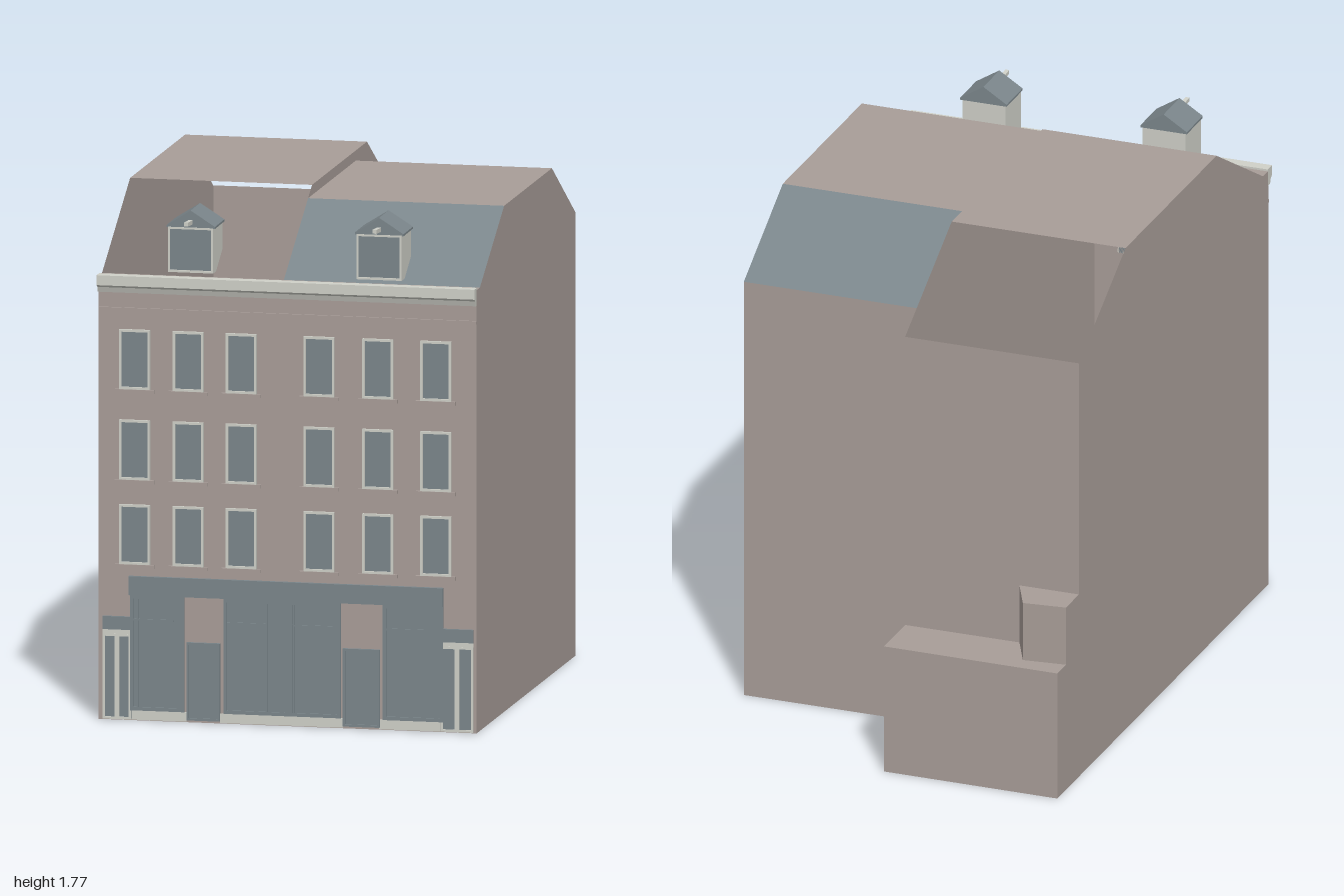
import * as THREE from 'three';

export function createModel() {
  const model = new THREE.Group();
  const mat = (name, color, side = THREE.FrontSide) => {
    const m = new THREE.MeshStandardMaterial({ color, side });
    m.name = name;
    return m;
  };
  const brick = mat('taupe brick', 0xa89d98, THREE.DoubleSide);
  const slate = mat('slate blue', 0x7b868b, THREE.DoubleSide);
  const cream = mat('pale stone', 0xcfd0c8);
  const WALL = 0.95; // z of the street wall

  const add = (parent, name, geometry, material) => {
    const mesh = new THREE.Mesh(geometry, material);
    mesh.name = name;
    parent.add(mesh);
    return mesh;
  };
  const group = (name, parent = model) => {
    const g = new THREE.Group();
    g.name = name;
    parent.add(g);
    return g;
  };
  // box given by its limits
  const box = (parent, name, m, x0, x1, y0, y1, z0, z1) => {
    const mesh = add(parent, name, new THREE.BoxGeometry(x1 - x0, y1 - y0, z1 - z0), m);
    mesh.position.set((x0 + x1) / 2, (y0 + y1) / 2, (z0 + z1) / 2);
    return mesh;
  };
  // rectangular frame standing on the street wall
  const frame = (parent, name, m, x0, x1, y0, y1, t, depth, z = WALL) => {
    const rect = (P, d) => new P([[x0 + d, y0 + d], [x1 - d, y0 + d], [x1 - d, y1 - d], [x0 + d, y1 - d]]
      .map(p => new THREE.Vector2(...p)));
    const shape = rect(THREE.Shape, 0);
    shape.holes.push(rect(THREE.Path, t));
    add(parent, name, new THREE.ExtrudeGeometry(shape, { depth, bevelEnabled: false }), m).position.z = z;
  };
  // flat faces from corner loops; the plots lean slightly towards +x at the back
  const faces = (parent, name, m, loops) => {
    const pos = [];
    for (const loop of loops) {
      for (let i = 1; i < loop.length - 1; i++)
        for (const [x, y, z] of [loop[0], loop[i], loop[i + 1]]) pos.push(x + 0.008 * (WALL - z), y, z);
    }
    const g = new THREE.BufferGeometry();
    g.setAttribute('position', new THREE.Float32BufferAttribute(pos, 3));
    g.computeVertexNormals();
    add(parent, name, g, m);
  };
  // house shell from a convex [z, y] profile, running from the front foot over the roof
  const house = (name, profile, x0, x1, roofEdges, roofMaterial, partyWall) => {
    const g = group(name);
    const walls = [], roof = [];
    profile.forEach(([z, y], i) => {
      const [z2, y2] = profile[(i + 1) % profile.length];
      const quad = [[x0, y, z], [x1, y, z], [x1, y2, z2], [x0, y2, z2]];
      (roofEdges.includes(i) ? roof : walls).push(quad);
    });
    walls.push(profile.map(([z, y]) => [x1, y, z]).reverse());
    if (partyWall) walls.push(profile.map(([z, y]) => [x0, y, z]));
    faces(g, 'walls', brick, walls);
    if (roofMaterial) faces(g, 'roofSlopes', roofMaterial, roof);
    return g;
  };

  // left plot has open slopes, right plot slate ones
  const tall = house('leftHouse', [[WALL, 0], [WALL, 1.52], [0.9, 1.52], [0.47, 1.77],
    [-0.37, 1.77], [-0.8, 1.52], [-0.8, 0]], -0.66, -0.032, [2, 4], null, true);
  house('rightHouse', [[WALL, 0], [WALL, 1.52], [0.9, 1.52], [0.53, 1.735],
    [-0.2, 1.735], [-0.56, 1.52], [-0.56, 0]], -0.032, 0.645, [2, 4], slate, false);

  // rear extension and the small roof hut on it
  const prism = (parent, name, plan, y0, y1) => {
    const loops = plan.map(([x, z], i) => {
      const [x2, z2] = plan[(i + 1) % plan.length];
      return [[x, y0, z], [x2, y0, z2], [x2, y1, z2], [x, y1, z]];
    });
    loops.push(plan.map(([x, z]) => [x, y1, z]), plan.map(([x, z]) => [x, y0, z]).reverse());
    faces(parent, name, brick, loops);
  };
  prism(tall, 'rearExtension', [[-0.66, -0.8], [-0.032, -0.8], [-0.032, -0.995], [-0.66, -1]], 0, 0.46);
  prism(tall, 'rearHut', [[-0.66, -0.8], [-0.445, -0.8], [-0.51, -0.935], [-0.66, -0.92]], 0.46, 0.67);

  // extrusion of a [z, y] profile along x
  const alongX = (parent, name, m, profile, x0, x1) => {
    const shape = new THREE.Shape(profile.map(([z, y]) => new THREE.Vector2(-z, y)));
    const g = new THREE.ExtrudeGeometry(shape, { depth: x1 - x0, bevelEnabled: false });
    g.rotateY(Math.PI / 2);
    add(parent, name, g, m).position.x = x0;
  };

  // cornice and string course
  alongX(model, 'cornice', cream, [[0.945, 1.527], [0.985, 1.527], [0.985, 1.493], [0.972, 1.485],
    [0.965, 1.467], [0.945, 1.467]], -0.66, 0.645);
  box(model, 'stringCourse', brick, -0.66, 0.645, 1.403, 1.414, WALL, 0.957);

  // sash windows
  const windows = group('windows');
  for (const x of [-0.535, -0.35, -0.167, 0.102, 0.305, 0.505]) {
    for (const y of [0.535, 0.825, 1.135]) {
      const w = group('window', windows);
      const top = y + 0.205;
      box(w, 'pane', slate, x - 0.048, x + 0.048, y, top - 0.005, WALL, WALL + 0.003);
      frame(w, 'windowFrame', cream, x - 0.053, x + 0.053, y, top, 0.008, 0.01);
      box(w, 'sill', brick, x - 0.068, x + 0.068, y - 0.013, y, WALL, WALL + 0.013);
    }
  }

  // shop front
  const shop = group('shopFront');
  box(shop, 'fascia', slate, -0.555, 0.53, 0.43, 0.495, WALL, 0.963);
  for (const [x0, x1, bar] of [[-0.55, -0.363, -0.525], [-0.228, -0.002, -0.08], [-0.002, 0.177, 0.015], [0.322, 0.53, 0.47]]) {
    box(shop, 'shopPane', slate, x0, x1, 0.035, 0.43, WALL, 0.953);
    frame(shop, 'shopFrame', slate, x0, x1, 0.035, 0.43, 0.012, 0.009);
    box(shop, 'transomBar', slate, x0 + 0.012, x0 + 0.15, 0.343, 0.349, WALL, 0.957);
    box(shop, 'mullion', slate, bar - 0.003, bar + 0.003, 0.047, 0.418, WALL, 0.957);
  }
  for (const [x0, x1] of [[-0.545, -0.355], [-0.24, 0.185], [0.31, 0.52]])
    box(shop, 'plinth', cream, x0, x1, 0.003, 0.035, WALL, 0.957);
  for (const [x0, x1] of [[-0.355, -0.24], [0.185, 0.312]]) {
    box(shop, 'shopDoor', slate, x0, x1, 0.008, 0.275, WALL, 0.956);
    frame(shop, 'shopDoorFrame', slate, x0, x1, 0.008, 0.275, 0.008, 0.011);
  }

  // house doors at both ends, each with two leaves and a fanlight
  for (const [x0, x1] of [[-0.645, -0.547], [0.522, 0.635]]) {
    const door = group('houseDoor');
    const mid = (x0 + x1) / 2;
    box(door, 'doorLeaves', slate, x0, x1, 0.005, 0.3, WALL, 0.954);
    frame(door, 'leafFrame', cream, x0, mid, 0.003, 0.295, 0.008, 0.008);
    frame(door, 'leafFrame', cream, mid, x1, 0.003, 0.295, 0.008, 0.008);
    box(door, 'lintel', cream, x0, x1, 0.295, 0.31, WALL, 0.957);
    box(door, 'fanlight', slate, x0, x1, 0.31, 0.355, WALL, 0.96);
  }

  // dormers with hoisting beams
  for (const x of [-0.348, 0.303]) {
    const d = group('dormer');
    const h = 0.078, e = 0.084;
    alongX(d, 'dormerWalls', cream, [[0.92, 1.537], [0.88, 1.537], [0.78, 1.595], [0.78, 1.692], [0.92, 1.692]], x - h, x + h);
    box(d, 'dormerPane', slate, x - h + 0.004, x + h - 0.004, 1.545, 1.686, 0.918, 0.923);
    frame(d, 'dormerFrame', cream, x - h, x + h, 1.537, 1.692, 0.007, 0.006, 0.92);
    const gable = new THREE.Shape([[-e, 1.69], [e, 1.69], [0, 1.742]].map(p => new THREE.Vector2(...p)));
    add(d, 'gable', new THREE.ExtrudeGeometry(gable, { depth: 0.143, bevelEnabled: false }), cream).position.set(x, 0, 0.779);
    const skin = new THREE.Shape([[-e, 1.69], [e, 1.69], [e, 1.697], [0, 1.75], [-e, 1.697]]
      .map(p => new THREE.Vector2(...p)));
    skin.setFromPoints([[-e, 1.69], [0, 1.742], [e, 1.69], [e, 1.697], [0, 1.75], [-e, 1.697]]
      .map(p => new THREE.Vector2(...p)));
    add(d, 'dormerRoof', new THREE.ExtrudeGeometry(skin, { depth: 0.15, bevelEnabled: false }), slate).position.set(x, 0, 0.775);
    alongX(d, 'hoistBeam', cream, [[0.92, 1.702], [0.92, 1.717], [1, 1.722], [1, 1.709]], x - 0.007, x + 0.007);
  }
  return model;
}
